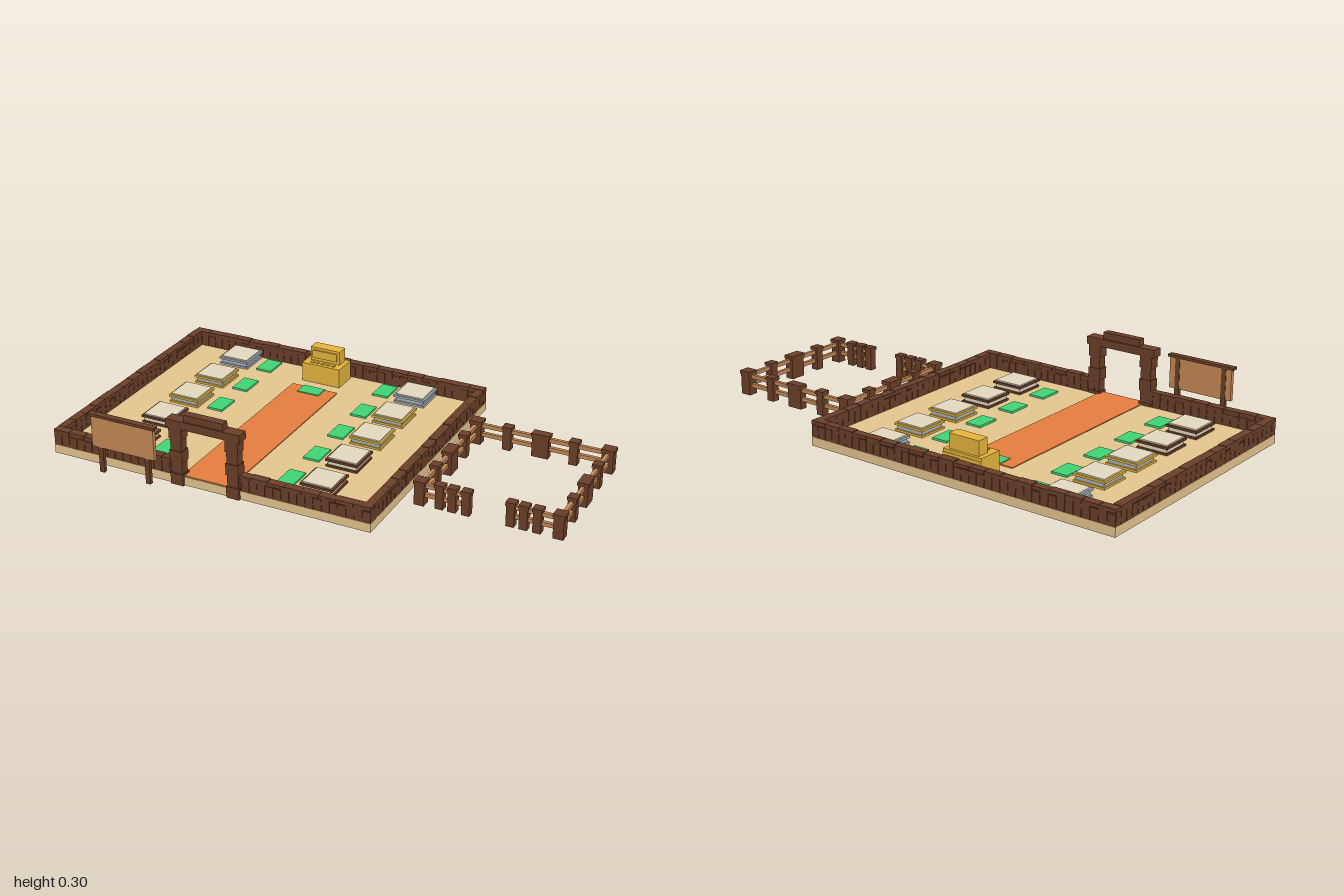
import * as THREE from 'three';

const mat = (name, color) => {
  const m = new THREE.MeshStandardMaterial({ color });
  m.name = name;
  return m;
};

export function createModel() {
  const brown = mat('dark wood', 0x6b3f29);
  const wood = mat('light wood', 0xc48956);
  const sand = mat('sand', 0xe5c790);
  const orange = mat('carpet orange', 0xe67e3e);
  const green = mat('pad green', 0x40d476);
  const gold = mat('gold', 0xe6b53c);
  const stone = mat('pale stone', 0xe4dac0);
  const steel = mat('steel', 0xa8b2bc);

  const root = new THREE.Group();
  root.name = 'courtyard';
  let seed = 7;
  const rand = () => (seed = (seed * 16807) % 2147483647) / 2147483647;

  const group = (name, parent = root) => {
    const g = new THREE.Group();
    g.name = name;
    parent.add(g);
    return g;
  };
  // Box given by its limits on each axis
  const box = (parent, name, material, x0, x1, y0, y1, z0, z1) => {
    const m = new THREE.Mesh(new THREE.BoxGeometry(x1 - x0, y1 - y0, z1 - z0), material);
    m.position.set((x0 + x1) / 2, (y0 + y1) / 2, (z0 + z1) / 2);
    m.name = name;
    parent.add(m);
    return m;
  };

  // Thin floor raised on a skirt, hollow underneath, with a carpet on top
  const X0 = -1, X1 = 0.362, Z0 = -0.575, Z1 = 0.514, F = 0.036, T = 0.034, S = 0.002;
  box(root, 'floor', sand, X0, X1, F - S, F, Z0, Z1);
  for (const x of [X0, X1 - S]) box(root, 'sideSkirt', sand, x, x + S, 0, F - S, Z0, Z1);
  for (const z of [Z0, Z1 - S]) box(root, 'endSkirt', sand, X0 + S, X1 - S, 0, F - S, z, z + S);
  box(root, 'carpet', orange, -0.424, -0.216, F, F + 0.004, -0.37, Z1 - 0.003);

  // Palisade: a row of slightly uneven planks under a row of cap blocks
  const wall = (name, ax, az, bx, bz) => {
    const g = group(name);
    const L = Math.hypot(bx - ax, bz - az);
    g.position.set(ax, 0, az);
    g.rotation.y = -Math.atan2(bz - az, bx - ax);
    box(g, 'wallCore', brown, 0, L, F, 0.088, -T / 2 + 0.004, T / 2 - 0.004);
    const n = Math.round(L / 0.034), w = L / n;
    for (let i = 0; i < n; i++) {
      const p = box(g, 'plank', brown, i * w + 0.001, (i + 1) * w - 0.001, F - 0.001, 0.08 + rand() * 0.012, -T / 2 + 0.001, T / 2 - 0.001);
      if (i > 0 && i < n - 1) p.rotation.z = (rand() - 0.5) * 0.12;
    }
    const k = Math.round(L / 0.068), c = L / k;
    for (let i = 0; i < k; i++)
      box(g, 'capBlock', brown, i * c + 0.0008, (i + 1) * c - 0.0008, 0.086, 0.099 + rand() * 0.003, -T / 2, T / 2);
  };
  const h = T / 2;
  wall('backWall', X0, Z0 + h, X1, Z0 + h);
  wall('rightWall', X0 + h, Z0 + T, X0 + h, Z1 - T);
  wall('leftWall', X1 - h, Z0 + T, X1 - h, Z1 - T);
  wall('frontWallRight', X0, Z1 - h, -0.44, Z1 - h);
  wall('frontWallLeft', -0.2, Z1 - h, X1, Z1 - h);

  // Gate with stacked posts and two beams
  const gate = group('gate');
  for (const x of [-0.439, -0.199]) {
    for (let i = 0; i < 5; i++) {
      const r = i % 2 ? 0.023 : 0.027;
      box(gate, 'postBlock', brown, x - r, x + r, i * 0.048, (i + 1) * 0.048, 0.501 - r * 0.85, 0.501 + r * 0.85);
    }
  }
  box(gate, 'crossBeam', brown, -0.477, -0.162, 0.24, 0.272, 0.477, 0.525);
  box(gate, 'topBeam', brown, -0.403, -0.234, 0.272, 0.3, 0.485, 0.518);

  // Notice board
  const sign = group('noticeBoard');
  for (const x of [-0.746, -0.54]) box(sign, 'signPost', brown, x - 0.01, x + 0.01, 0, 0.236, 0.551, 0.567);
  box(sign, 'signBoard', wood, -0.78, -0.505, 0.108, 0.236, 0.553, 0.57);
  box(sign, 'signCap', brown, -0.79, -0.498, 0.235, 0.246, 0.548, 0.574);

  // Two rows of display tables, each with a pad beside it
  const rows = [[-0.473, steel], [-0.269, gold], [-0.066, gold], [0.138, brown], [0.345, brown]];
  for (const [tx, px] of [[-0.73, -0.593], [0.09, -0.047]]) {
    for (const [z, trim] of rows) {
      const g = group('displayTable');
      g.position.set(tx, 0, z);
      const slab = (name, m, r, y0, y1) => box(g, name, m, -r, r, y0, y1, -r, r);
      slab('tableBase', trim, 0.066, F, 0.044);
      slab('tableBody', trim === brown ? stone : steel, 0.06, 0.044, 0.06);
      slab('tableRim', trim, 0.068, 0.06, 0.069);
      slab('tableTop', stone, 0.06, 0.069, 0.074);
      box(root, 'floorPad', green, px - 0.034, px + 0.034, F, 0.044, z - 0.051, z + 0.051);
    }
  }
  box(root, 'counterPad', green, -0.37, -0.273, F, 0.044, -0.37, -0.308);

  // Golden counter with a raised console
  const counter = group('goldCounter');
  box(counter, 'counterBase', gold, -0.406, -0.233, F, 0.106, -0.528, -0.422);
  box(counter, 'counterTop', gold, -0.406, -0.233, 0.106, 0.118, -0.526, -0.422);
  box(counter, 'console', gold, -0.387, -0.252, 0.118, 0.177, -0.515, -0.465);
  box(counter, 'consoleFront', gold, -0.375, -0.264, 0.132, 0.166, -0.465, -0.458);
  for (let i = 0; i < 5; i++) {
    const x = -0.367 + i * 0.024;
    box(counter, 'key', gold, x - 0.007, x + 0.007, 0.118, 0.122, -0.45, -0.436);
  }

  // Side pen: posts with caps, joined by two rails
  const pen = group('pen');
  const L = 0.435, R = 0.975, B = -0.3, P = 0.239;
  const post = (x, z, w, d) => {
    const g = group('penPost', pen);
    g.position.set(x, 0, z);
    box(g, 'postBody', brown, -w / 2 + 0.003, w / 2 - 0.003, 0, 0.088, -d / 2 + 0.003, d / 2 - 0.003);
    box(g, 'postCap', brown, -w / 2, w / 2, 0.086, 0.1, -d / 2, d / 2);
  };
  for (const x of [L, R]) {
    post(x, B, 0.052, 0.046);
    post(x, P, 0.046, 0.046);
    for (const [z, w] of [[-0.168, 0.04], [-0.031, 0.074], [0.105, 0.04]]) post(x, z, w > 0.05 ? 0.044 : 0.038, w);
  }
  for (const [x, w] of [[0.565, 0.04], [0.703, 0.074], [0.838, 0.04]]) post(x, B, w, 0.038);
  for (const x of [0.513, 0.563, 0.617, 0.79, 0.84, 0.892]) post(x, P, 0.038, 0.036);
  for (const y of [0.032, 0.07]) {
    const t = 0.007, y1 = y + 0.016;
    for (const x of [L, R]) box(pen, 'sideRail', wood, x - t, x + t, y, y1, B, P);
    box(pen, 'backRail', wood, L, R, y, y1, B - t, B + t);
    box(pen, 'frontRail', wood, L, 0.617, y, y1, P - t, P + t);
    box(pen, 'frontRail', wood, 0.79, R, y, y1, P - t, P + t);
  }
  return root;
}
